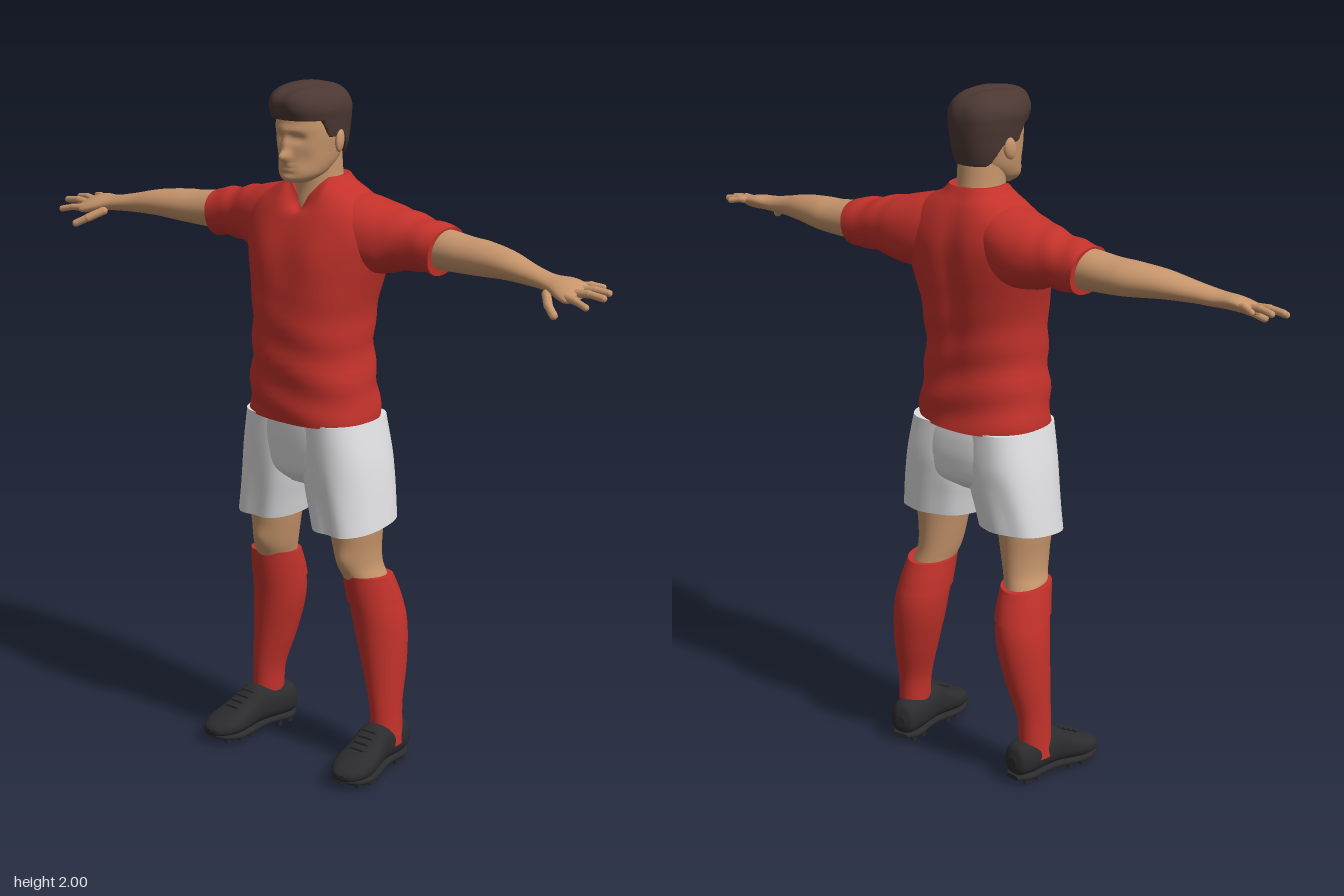
import * as THREE from 'three';

const mat = (name, color, side = THREE.FrontSide) => {
  const m = new THREE.MeshStandardMaterial({ color, side });
  m.name = name;
  return m;
};

// Skin over oval sections. Each row: [t, aMin, aMax, bMin, bMax], t ascending along the axis.
// Axis y: a = x, b = z.  Axis x: a = z, b = y.  Axis z: a = y, b = x.
function loft(axis, rows, { n = 2, segs = 48, steps = 6, rule = null } = {}) {
  const spline = new THREE.CubicInterpolant(rows.map((_, i) => i), rows.flat(), 5);
  const count = (rows.length - 1) * steps;
  const pos = [], idx = [];
  const place = (t, a, b) => {
    const p = axis === 'y' ? new THREE.Vector3(a, t, b)
      : axis === 'x' ? new THREE.Vector3(t, b, a) : new THREE.Vector3(b, a, t);
    if (rule) rule(p);
    return p;
  };
  const rounded = v => Math.sign(v) * Math.abs(v) ** (2 / n);
  for (let i = 0; i <= count; i++) {
    const [t, a0, a1, b0, b1] = spline.evaluate(i / steps);
    for (let j = 0; j < segs; j++) {
      const q = j / segs * Math.PI * 2;
      const p = place(t, (a0 + a1) / 2 + (a1 - a0) / 2 * rounded(Math.cos(q)),
        (b0 + b1) / 2 + (b1 - b0) / 2 * rounded(Math.sin(q)));
      pos.push(p.x, p.y, p.z);
      if (i === count) continue;
      const k = i * segs + j, l = i * segs + (j + 1) % segs;
      idx.push(k, k + segs, l, l, k + segs, l + segs);
    }
  }
  // end caps with their own corners, so the rims stay crisp
  for (const end of [0, count]) {
    const base = pos.length / 3, c = new THREE.Vector3();
    for (let j = 0; j < segs; j++) {
      const o = (end * segs + j) * 3;
      const p = new THREE.Vector3(pos[o], pos[o + 1], pos[o + 2]);
      c.addScaledVector(p, 1 / segs);
      pos.push(p.x, p.y, p.z);
    }
    pos.push(c.x, c.y, c.z);
    for (let j = 0; j < segs; j++) {
      const k = base + j, l = base + (j + 1) % segs;
      if (end) idx.push(base + segs, l, k); else idx.push(base + segs, k, l);
    }
  }
  const g = new THREE.BufferGeometry();
  g.setAttribute('position', new THREE.Float32BufferAttribute(pos, 3));
  g.setIndex(idx);
  g.computeVertexNormals();
  return g;
}

function mirrored(geometry) {
  const g = geometry.clone().scale(-1, 1, 1), a = g.index.array;
  for (let i = 0; i < a.length; i += 3) [a[i], a[i + 1]] = [a[i + 1], a[i]];
  return g;
}

// Rounded limb segment between two points
function capsule(from, to, r) {
  const a = new THREE.Vector3(...from), b = new THREE.Vector3(...to), d = b.clone().sub(a);
  const g = new THREE.CapsuleGeometry(r, d.length(), 5, 12);
  g.applyQuaternion(new THREE.Quaternion().setFromUnitVectors(new THREE.Vector3(0, 1, 0), d.normalize()));
  return g.translate(...a.add(b).multiplyScalar(0.5).toArray());
}

const bell = (d, s) => Math.exp(-((d / s) ** 2));
const ramp = THREE.MathUtils.smoothstep;

export function createModel() {
  const model = new THREE.Group();
  model.name = 'footballer';
  const skin = mat('skin', 0xc8966c);
  const red = mat('red cloth', 0xc4322b, THREE.DoubleSide);
  const white = mat('white cloth', 0xe0e0e2, THREE.DoubleSide);
  const hairMat = mat('brown hair', 0x4c3833);
  const black = mat('black leather', 0x2c2c2e);
  const add = (name, g, m) => {
    const mesh = new THREE.Mesh(g, m);
    mesh.name = name;
    model.add(mesh);
  };
  const pair = (name, g, m) => {
    add('left ' + name, g, m);
    add('right ' + name, mirrored(g), m);
  };

  // Head, with the face raised and sunk by soft bumps
  const face = p => {
    if (p.z < 0.02) return;
    const x = Math.abs(p.x), y = p.y;
    p.z += 0.031 * bell(x, 0.014) * bell(y - 1.803, 0.016)
      + 0.016 * bell(x, 0.011) * bell(y - 1.838, 0.024)
      + 0.007 * bell(x, 0.05) * bell(y - 1.877, 0.011)
      - 0.014 * bell(x - 0.033, 0.017) * bell(y - 1.853, 0.011)
      + 0.005 * bell(x - 0.033, 0.011) * bell(y - 1.852, 0.006)
      + 0.007 * bell(x, 0.024) * (bell(y - 1.778, 0.005) + bell(y - 1.765, 0.005))
      + 0.007 * bell(x, 0.025) * bell(y - 1.742, 0.011)
      - 0.005 * bell(x - 0.05, 0.018) * bell(y - 1.795, 0.025);
  };
  add('head', loft('y', [
    [1.727, -0.03, 0.03, 0.03, 0.092], [1.738, -0.048, 0.048, 0.005, 0.105], [1.755, -0.064, 0.064, -0.03, 0.109],
    [1.785, -0.075, 0.075, -0.07, 0.109], [1.82, -0.081, 0.081, -0.092, 0.11], [1.86, -0.086, 0.086, -0.1, 0.11],
    [1.90, -0.086, 0.086, -0.1, 0.11], [1.94, -0.08, 0.08, -0.09, 0.1], [1.975, -0.05, 0.05, -0.05, 0.06],
  ], { n: 2.2, segs: 96 }).clone(), skin);
  const head = model.getObjectByName('head').geometry;
  const hp = head.attributes.position, v = new THREE.Vector3();
  for (let i = 0; i < hp.count; i++) {
    face(v.fromBufferAttribute(hp, i));
    hp.setXYZ(i, v.x, v.y, v.z);
  }
  head.computeVertexNormals();
  add('neck', loft('y', [
    [1.60, -0.085, 0.085, -0.12, 0.05], [1.66, -0.074, 0.074, -0.115, 0.047], [1.70, -0.069, 0.069, -0.108, 0.043],
    [1.74, -0.066, 0.066, -0.1, 0.045], [1.80, -0.066, 0.066, -0.094, 0.05],
  ]), skin);
  const ear = new THREE.SphereGeometry(1, 20, 14).scale(0.011, 0.033, 0.02)
    .rotateX(-0.2).rotateY(0.3).translate(0.089, 1.842, -0.012);
  pair('ear', ear, skin);

  // Hair, its lower edge stepping from fringe to sideburn to nape
  const hairEdge = p => {
    const edge = 1.795 + 0.06 * ramp(p.z, -0.075, -0.03) + 0.05 * ramp(p.z, 0.025, 0.06);
    p.y = Math.max(p.y, edge);
    const lock = 0.0025 * Math.sin(p.x * 90 + p.z * 40) * ramp(p.y, 1.9, 1.94);
    p.y += lock;
    p.z += lock;
  };
  add('hair', loft('y', [
    [1.79, -0.074, 0.074, -0.098, 0.09], [1.83, -0.086, 0.086, -0.108, 0.1], [1.87, -0.092, 0.092, -0.114, 0.112],
    [1.905, -0.097, 0.097, -0.117, 0.123], [1.935, -0.1, 0.1, -0.116, 0.134], [1.962, -0.092, 0.092, -0.105, 0.132],
    [1.983, -0.072, 0.072, -0.08, 0.11], [1.994, -0.045, 0.045, -0.048, 0.075], [1.998, -0.012, 0.012, -0.01, 0.025],
  ], { n: 2.25, segs: 72, rule: hairEdge }), hairMat);

  // Shirt body, with a V neck and soft folds
  const shirtRule = p => {
    const x = Math.abs(p.x);
    if (p.z > -0.02) p.y -= 0.075 * Math.max(0, 1 - x / 0.07) * ramp(p.y, 1.62, 1.735);
    const fold = 1 - ramp(p.y, 1.2, 1.5);
    const k = 0.004 * fold * Math.sin(p.y * 52 + p.x * 16 + p.z * 9);
    p.x *= 1 + k * 3;
    p.z += Math.sign(p.z) * k;
    if (p.z > 0) p.z += 0.01 * bell(x - 0.09, 0.06) * bell(p.y - 1.52, 0.08);
    else p.z += 0.014 * bell(x, 0.035) * bell(p.y - 1.5, 0.2);
  };
  add('shirt body', loft('y', [
    [1.045, -0.196, 0.196, -0.165, 0.138], [1.12, -0.192, 0.192, -0.158, 0.142], [1.25, -0.177, 0.177, -0.15, 0.144],
    [1.38, -0.185, 0.185, -0.16, 0.14], [1.50, -0.217, 0.217, -0.175, 0.122], [1.58, -0.235, 0.235, -0.177, 0.103],
    [1.64, -0.215, 0.215, -0.165, 0.082], [1.685, -0.155, 0.155, -0.148, 0.062], [1.715, -0.1, 0.1, -0.13, 0.05],
    [1.738, -0.078, 0.078, -0.118, 0.043],
  ], { n: 2.35, segs: 80, rule: shirtRule }), red);
  pair('sleeve', loft('x', [
    [0.08, -0.15, 0.05, 1.52, 1.70], [0.15, -0.168, 0.058, 1.48, 1.692], [0.22, -0.17, 0.042, 1.478, 1.676],
    [0.29, -0.16, 0.014, 1.495, 1.66], [0.35, -0.156, 0.004, 1.50, 1.645], [0.415, -0.156, 0.002, 1.497, 1.634],
  ], { n: 2.2, rule: p => {
    p.x += (p.y - 1.57) * 0.15 * ramp(p.x, 0.3, 0.41);
    p.y += 0.003 * Math.sin(p.x * 75 + p.z * 25) * ramp(p.x, 0.2, 0.3);
  } }), red);

  // Arms, hands and fingers
  pair('arm', loft('x', [
    [0.34, -0.137, -0.014, 1.515, 1.628], [0.42, -0.138, -0.013, 1.513, 1.626], [0.50, -0.136, -0.01, 1.515, 1.617],
    [0.56, -0.13, -0.006, 1.518, 1.614], [0.65, -0.105, 0.0, 1.525, 1.603], [0.74, -0.073, 0.004, 1.526, 1.582],
    [0.81, -0.06, 0.014, 1.523, 1.568], [0.86, -0.062, 0.034, 1.518, 1.563], [0.895, -0.06, 0.043, 1.517, 1.554],
    [0.915, -0.045, 0.03, 1.523, 1.546],
  ], { rule: p => { p.y -= 0.25 * (p.z + 0.01) * ramp(p.x, 0.78, 0.88); } }), skin);
  const fingers = {
    'little finger': [[0.88, 1.547, -0.048], [0.91, 1.55, -0.062], [0.938, 1.545, -0.074], 0.0095],
    'ring finger': [[0.89, 1.542, -0.026], [0.94, 1.546, -0.035], [0.978, 1.541, -0.042], 0.0105],
    'middle finger': [[0.895, 1.537, 0.001], [0.945, 1.541, 0.0], [0.989, 1.536, -0.001], 0.011],
    'index finger': [[0.89, 1.529, 0.027], [0.93, 1.526, 0.037], [0.967, 1.517, 0.046], 0.0105],
    'thumb': [[0.82, 1.525, 0.015], [0.852, 1.505, 0.05], [0.884, 1.487, 0.07], 0.0125],
  };
  for (const [name, [a, b, c, r]] of Object.entries(fingers)) {
    pair(name + ' base', capsule(a, b, r), skin);
    pair(name + ' tip', capsule(b, c, r * 0.9), skin);
  }

  // Shorts
  add('shorts seat', loft('y', [
    [0.85, -0.10, 0.10, -0.09, 0.06], [0.89, -0.19, 0.19, -0.145, 0.1], [0.95, -0.215, 0.215, -0.158, 0.112],
    [1.01, -0.202, 0.202, -0.157, 0.118], [1.06, -0.188, 0.188, -0.15, 0.12],
  ], { n: 2.5, segs: 64 }), white);
  pair('shorts leg', loft('y', [
    [0.745, 0.034, 0.25, -0.14, 0.102], [0.80, 0.022, 0.243, -0.146, 0.104], [0.87, 0.006, 0.234, -0.153, 0.108],
    [0.95, 0.0, 0.221, -0.158, 0.113], [1.05, 0.0, 0.2, -0.152, 0.118],
  ], { n: 2.5, rule: p => {
    const low = 1 - ramp(p.y, 0.78, 0.98);
    p.z += 0.004 * low * Math.sin(p.x * 60 + p.y * 12);
    p.y -= (p.z + 0.02) * 0.13 * low;
  } }), white);

  // Legs and socks
  pair('leg', loft('y', [
    [0.50, 0.125, 0.235, -0.12, 0.015], [0.57, 0.118, 0.232, -0.108, 0.033], [0.62, 0.105, 0.218, -0.1, 0.052],
    [0.68, 0.092, 0.218, -0.1, 0.064], [0.75, 0.078, 0.225, -0.105, 0.074], [0.85, 0.055, 0.225, -0.115, 0.08],
  ], { rule: p => { if (p.z > 0) p.z += 0.008 * bell(p.x - 0.16, 0.03) * bell(p.y - 0.645, 0.03); } }), skin);
  pair('sock', loft('y', [
    [0.07, 0.188, 0.278, -0.115, -0.005], [0.13, 0.188, 0.274, -0.116, -0.01], [0.20, 0.182, 0.272, -0.121, -0.008],
    [0.30, 0.152, 0.274, -0.145, -0.004], [0.40, 0.125, 0.272, -0.159, 0.004], [0.47, 0.115, 0.265, -0.157, 0.014],
    [0.54, 0.112, 0.25, -0.136, 0.028], [0.588, 0.11, 0.242, -0.116, 0.037],
  ], { rule: p => { p.y += 0.1 * (p.z + 0.04) * ramp(p.y, 0.5, 0.58); } }), red);
  pair('sock cuff', loft('y', [
    [0.50, 0.108, 0.262, -0.155, 0.025], [0.54, 0.107, 0.255, -0.142, 0.033], [0.588, 0.107, 0.246, -0.12, 0.041],
  ], { rule: p => { p.y += 0.1 * (p.z + 0.04); } }), red);

  // Boots: upper, sole, laces and studs, turned slightly outward
  const foot = g => g.rotateY(0.13).translate(0.235, 0, 0);
  pair('boot', foot(loft('z', [
    [-0.153, 0.05, 0.085, -0.016, 0.016], [-0.14, 0.028, 0.118, -0.038, 0.038], [-0.10, 0.024, 0.13, -0.048, 0.048],
    [-0.045, 0.026, 0.136, -0.05, 0.048], [0.0, 0.026, 0.142, -0.051, 0.05], [0.045, 0.022, 0.116, -0.056, 0.056],
    [0.095, 0.019, 0.09, -0.062, 0.062], [0.14, 0.02, 0.073, -0.054, 0.054], [0.168, 0.026, 0.058, -0.034, 0.034],
    [0.178, 0.036, 0.048, -0.012, 0.012],
  ], { n: 2.4 })), black);
  pair('sole', foot(loft('z', [
    [-0.15, 0.016, 0.03, -0.025, 0.025], [-0.11, 0.014, 0.034, -0.046, 0.046], [-0.02, 0.018, 0.038, -0.046, 0.046],
    [0.09, 0.012, 0.032, -0.063, 0.063], [0.145, 0.014, 0.034, -0.05, 0.05], [0.172, 0.024, 0.036, -0.024, 0.024],
  ], { n: 3.5 })), black);
  for (let i = 0; i < 4; i++) {
    const z = 0.02 + i * 0.022, y = 0.132 - i * 0.0105;
    pair('lace ' + (i + 1), foot(capsule([-0.02, y - 0.002, z], [0.02, y - 0.002, z + 0.004], 0.005)), black);
  }
  for (const [z, w] of [[-0.12, 0.026], [-0.075, 0.03], [0.045, 0.04], [0.09, 0.045], [0.13, 0.03]])
    for (const x of [-w, w])
      pair('stud', foot(new THREE.CylinderGeometry(0.011, 0.008, 0.024, 10).translate(x, 0.012, z)), black);

  return model;
}
